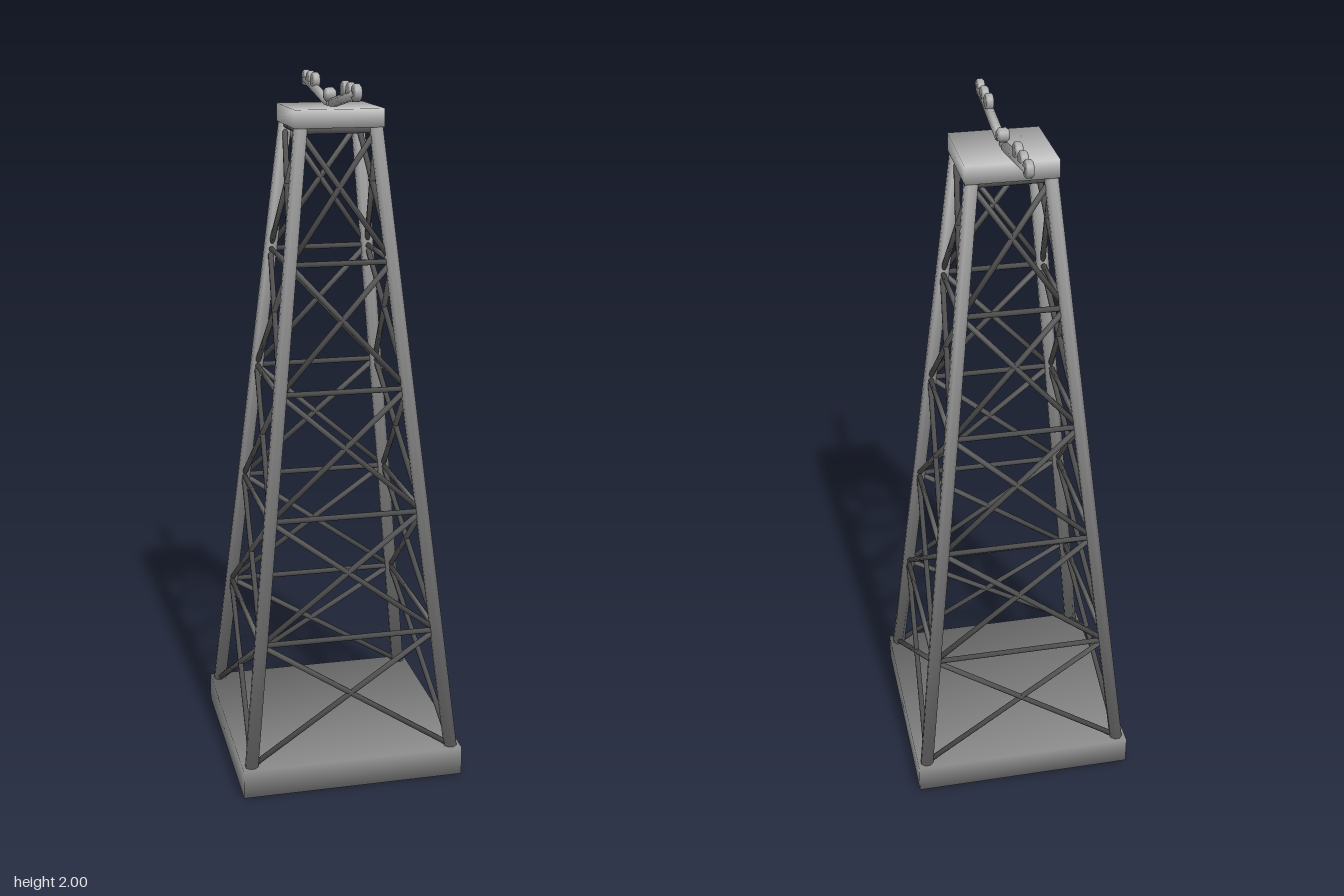
import * as THREE from 'three';

const paint = (color) => new THREE.MeshStandardMaterial({ color });
const LIGHT = paint(0xcccccc), STEEL = paint(0x8e8e8e), DARK = paint(0x555555), WHEEL = paint(0xaaaaaa);
const UP = new THREE.Vector3(0, 1, 0);

// Blend the normals of all corners that share a position, for soft shading across edges
function soften(geometry) {
  const { position, normal } = geometry.attributes;
  const sums = new Map();
  const key = (i) => [position.getX(i), position.getY(i), position.getZ(i)].map((v) => Math.round(v * 1e5)).join();
  for (let i = 0; i < position.count; i++) {
    const n = new THREE.Vector3().fromBufferAttribute(normal, i);
    sums.set(key(i), n.add(sums.get(key(i)) ?? new THREE.Vector3()));
  }
  for (let i = 0; i < position.count; i++) {
    const n = sums.get(key(i)).clone().normalize();
    normal.setXYZ(i, n.x, n.y, n.z);
  }
  return geometry;
}

function add(parent, name, geometry, material, x = 0, y = 0, z = 0) {
  const mesh = new THREE.Mesh(geometry, material);
  mesh.name = name;
  mesh.position.set(x, y, z);
  parent.add(mesh);
  return mesh;
}

const slab = (w, h, d) => soften(new THREE.BoxGeometry(w, h, d));

// Eight-sided bar between two points
function bar(parent, name, a, b, radius, material) {
  const dir = b.clone().sub(a);
  const geometry = soften(new THREE.CylinderGeometry(radius, radius, dir.length(), 8));
  const mesh = add(parent, name, geometry.rotateY(Math.PI / 8), material);
  mesh.position.copy(a).add(b).multiplyScalar(0.5);
  mesh.quaternion.setFromUnitVectors(UP, dir.normalize());
}

// Sheave with bevelled rims, axle along x
function wheel(parent, name, radius, width, y, z) {
  const h = width / 2, c = width * 0.22;
  const profile = [[0, -h], [radius - c, -h], [radius, -h + c], [radius, h - c], [radius - c, h], [0, h]];
  const geometry = new THREE.LatheGeometry(profile.map(([r, t]) => new THREE.Vector2(r, t)), 20);
  add(parent, name, geometry.rotateZ(Math.PI / 2), WHEEL, 0, y, z);
}

export function createModel() {
  const model = new THREE.Group();
  model.name = 'latticeTower';

  // Foundation slab and top platform
  add(model, 'base', slab(0.65, 0.085, 0.65), STEEL, 0, 0.0425, 0);
  add(model, 'platform', slab(0.25, 0.05, 0.25), LIGHT, 0, 1.896, 0);

  // Tapered lattice: corner position at a given height and quarter turn
  const bottom = 0.085, top = 1.862, bays = 5;
  const corner = (y, i) => {
    const r = THREE.MathUtils.mapLinear(y, bottom, top, 0.297, 0.106);
    const a = Math.PI / 4 + i * Math.PI / 2;
    return new THREE.Vector3(Math.cos(a), 0, Math.sin(a)).multiplyScalar(r * Math.SQRT2).setY(y);
  };
  const level = (k) => bottom + (top - bottom) * k / bays;

  for (let i = 0; i < 4; i++) {
    bar(model, 'leg', corner(bottom - 0.005, i), corner(top + 0.008, i), 0.0195, STEEL);
    const side = new THREE.Group();
    side.name = 'bracedSide';
    for (let k = 0; k < bays; k++) {
      const y0 = level(k), y1 = level(k + 1);
      bar(side, 'diagonalBrace', corner(y0, i), corner(y1, i + 1), 0.008, DARK);
      bar(side, 'diagonalBrace', corner(y0, i + 1), corner(y1, i), 0.008, DARK);
      bar(side, 'horizontalBrace', corner(y1, i), corner(y1, i + 1), 0.008, DARK);
    }
    model.add(side);
  }

  // Two raised arms, each carrying three wheels
  for (const s of [1, -1]) {
    const arm = new THREE.Group();
    arm.name = s > 0 ? 'frontArm' : 'backArm';
    bar(arm, 'armBeam', new THREE.Vector3(0, 1.931, s * 0.037), new THREE.Vector3(0, 1.975, s * 0.315), 0.0135, WHEEL);
    for (const z of [0.187, 0.249, 0.311]) wheel(arm, 'armWheel', 0.023, 0.022, 1.977, s * z);
    model.add(arm);
  }

  // Central wheel resting above the platform
  wheel(model, 'centreWheel', 0.019, 0.034, 1.951, 0);
  add(model, 'centreWheelMount', slab(0.016, 0.03, 0.016), WHEEL, 0, 1.933, 0);

  return model;
}
